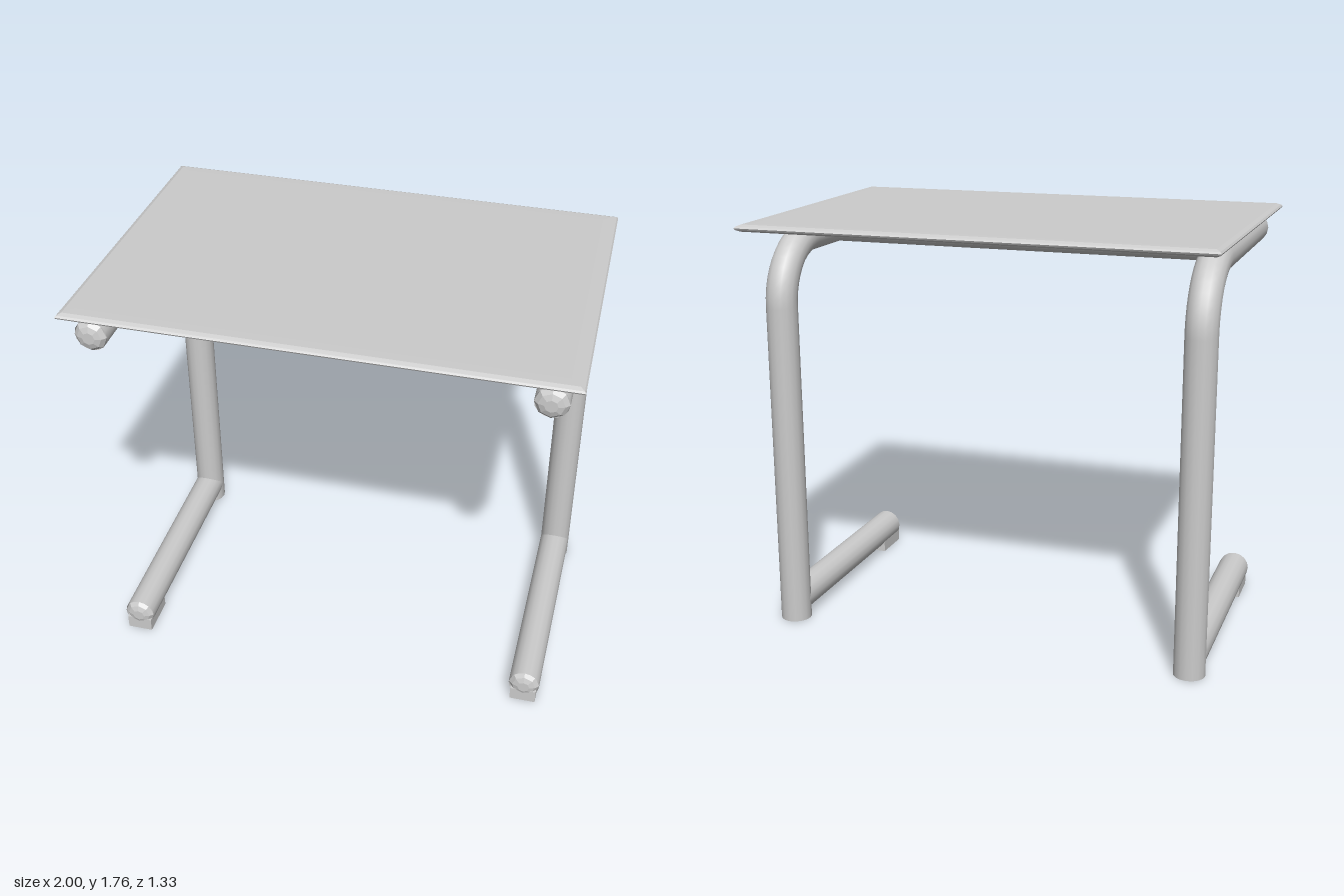
import * as THREE from 'three';

const R = 0.066;      // tube radius
const LEG_X = 0.883;  // side frame position
const BACK_Z = -0.477;
const RAIL_Y = 1.657;
const V = (x, y, z) => new THREE.Vector3(x, y, z);

const material = new THREE.MeshStandardMaterial({ color: 0xcccccc, side: THREE.DoubleSide });
const facetMaterial = new THREE.MeshStandardMaterial({ color: 0xcccccc, flatShading: true });

function add(parent, name, geometry, mat = material) {
  const mesh = new THREE.Mesh(geometry, mat);
  mesh.name = name;
  parent.add(mesh);
  return mesh;
}

// Slab skinned over rectangular rings of [inset, height], underside first
function slabGeometry() {
  const rings = [
    [0.13, 1.742], [0.07, 1.738], [0.045, 1.729], [0.02, 1.73], [0.004, 1.738], [0, 1.745],
    [0.006, 1.752], [0.022, 1.759], [0.06, 1.76],
  ];
  const corners = [[1, 1], [1, -1], [-1, -1], [-1, 1]];
  const positions = [];
  const corner = ([inset, y], [sx, sz]) => {
    const z = sz * (0.665 - inset);
    const halfWidth = 0.99 + 0.01 * sz - inset; // slightly wider at the front
    return [sx * halfWidth, y + 0.006 * z, z];
  };
  const quad = (a, b, c, d) => positions.push(...a, ...b, ...c, ...a, ...c, ...d);
  for (let i = 0; i < rings.length - 1; i++) {
    for (let k = 0; k < 4; k++) {
      const p = corners[k], q = corners[(k + 1) % 4];
      quad(corner(rings[i], p), corner(rings[i], q), corner(rings[i + 1], q), corner(rings[i + 1], p));
    }
  }
  const top = corners.map(c => corner(rings[rings.length - 1], c));
  const under = corners.map(c => corner(rings[0], c)).reverse();
  quad(...top);
  quad(...under);
  const geometry = new THREE.BufferGeometry();
  geometry.setAttribute('position', new THREE.Float32BufferAttribute(positions, 3));
  geometry.computeVertexNormals();
  return geometry;
}

// Faceted plug closing the front end of a tube
function endPlug(parent, name, y, z) {
  const profile = [[R, -0.04], [R, 0], [0.05, 0.016], [0.026, 0.024], [0, 0.024]];
  const geometry = new THREE.LatheGeometry(profile.map(([r, h]) => new THREE.Vector2(r, h)), 8);
  geometry.rotateX(Math.PI / 2);
  add(parent, name, geometry, facetMaterial).position.set(0, y, z);
}

function createSideFrame(x) {
  const frame = new THREE.Group();
  frame.name = x > 0 ? 'leftFrame' : 'rightFrame';
  frame.position.x = x;

  // Upright bending forward into the rail under the top
  const bend = 0.26, k = bend * 0.448;
  const path = new THREE.CurvePath();
  const a = V(0, RAIL_Y - bend, BACK_Z), b = V(0, RAIL_Y, BACK_Z + bend);
  path.add(new THREE.LineCurve3(V(0, 0, BACK_Z), a));
  path.add(new THREE.CubicBezierCurve3(a, V(0, RAIL_Y - k, BACK_Z), V(0, RAIL_Y, BACK_Z + k), b));
  path.add(new THREE.LineCurve3(b, V(0, RAIL_Y, 0.615)));
  add(frame, 'bentTube', new THREE.TubeGeometry(path, 72, R, 16));
  endPlug(frame, 'railPlug', RAIL_Y, 0.617);

  // Closed bottom of the upright
  const cap = add(frame, 'uprightCap', new THREE.CircleGeometry(R, 16));
  cap.rotation.x = Math.PI / 2;
  cap.position.set(0, 0.001, BACK_Z);

  // Foot tube with its plug and floor pad
  const footLength = 0.51 - BACK_Z;
  const foot = add(frame, 'foot', new THREE.CylinderGeometry(R, R, footLength, 16, 1, true));
  foot.rotation.x = Math.PI / 2;
  foot.position.set(0, 0.084, BACK_Z + footLength / 2);
  endPlug(frame, 'footPlug', 0.084, 0.505);
  add(frame, 'floorPad', new THREE.BoxGeometry(0.11, 0.06, 0.175), facetMaterial).position.set(0, 0.03, 0.437);
  return frame;
}

export function createModel() {
  const model = new THREE.Group();
  model.name = 'desk';

  add(model, 'deskTop', slabGeometry());
  for (const side of [1, -1]) model.add(createSideFrame(side * LEG_X));

  // Crossbar joining the two rails
  const bar = add(model, 'crossbar', new THREE.CylinderGeometry(R, R, 2 * LEG_X, 16, 1, true));
  bar.rotation.z = Math.PI / 2;
  bar.position.set(0, 1.664, 0.02);

  return model;
}
